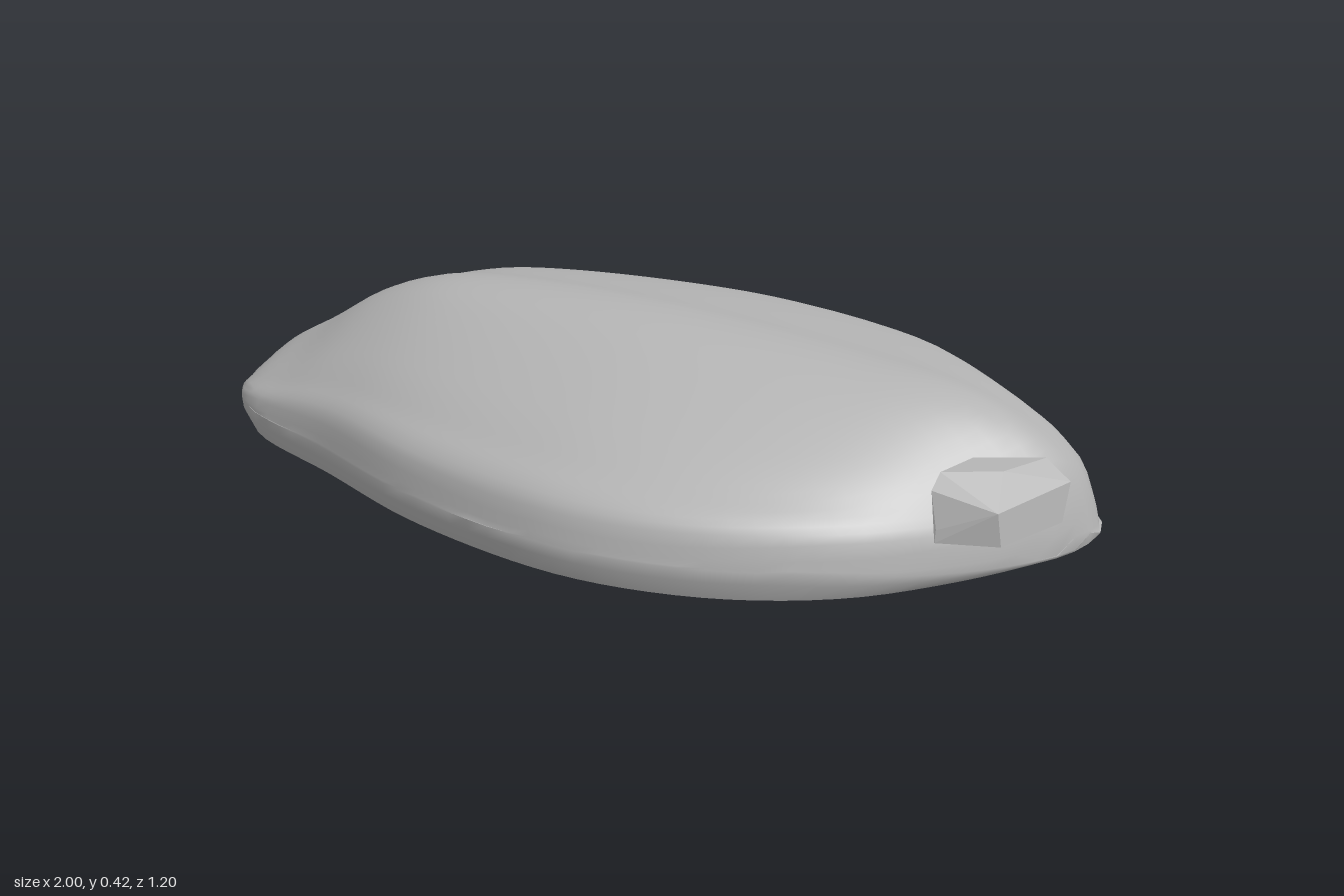
import * as THREE from 'three';
import { toCreasedNormals } from 'three/addons/utils/BufferGeometryUtils.js';
import { ConvexGeometry } from 'three/addons/geometries/ConvexGeometry.js';

// plan outline of the two sides: [x, half width], from left end to right end
const FRONT = [[-1, 0.1], [-0.97, 0.2], [-0.88, 0.29], [-0.6, 0.4], [-0.3, 0.52], [0.02, 0.59], [0.2, 0.595],
  [0.39, 0.56], [0.54, 0.5], [0.68, 0.41], [0.8, 0.29], [0.91, 0.15], [0.98, 0.03]];
const BACK = [[-0.99, 0.1], [-0.96, 0.2], [-0.89, 0.3], [-0.76, 0.38], [-0.47, 0.48], [0.02, 0.59], [0.2, 0.6],
  [0.39, 0.57], [0.53, 0.51], [0.75, 0.32], [0.93, 0.2], [0.998, 0.1]];
// long ridge: [x, y], and crosswise profile: [z, y]
const RIDGE = [[-1, 0.11], [-0.95, 0.18], [-0.8, 0.27], [-0.67, 0.35], [-0.53, 0.4], [-0.4, 0.418], [-0.15, 0.424],
  [0.1, 0.415], [0.5, 0.38], [0.7, 0.355], [0.83, 0.31], [0.93, 0.24], [0.97, 0.17], [1, 0.06]];
const CROSS = [[-0.6, 0.1], [-0.57, 0.18], [-0.5, 0.25], [-0.4, 0.33], [-0.3, 0.365], [-0.1, 0.4], [0, 0.42],
  [0.1, 0.42], [0.2, 0.395], [0.4, 0.3], [0.5, 0.24], [0.58, 0.18], [0.6, 0.1]];

// smooth interpolation of a [position, value] table
function sample(table, x) {
  const last = table.length - 1;
  if (x <= table[0][0]) return table[0][1];
  if (x >= table[last][0]) return table[last][1];
  let i = 0;
  while (table[i + 1][0] < x) i++;
  const slope = (k) => {
    const a = table[Math.max(k - 1, 0)], b = table[Math.min(k + 1, last)];
    return (b[1] - a[1]) / (b[0] - a[0]);
  };
  const [x0, y0] = table[i], [x1, y1] = table[i + 1];
  const d = x1 - x0, t = (x - x0) / d, t2 = t * t, t3 = t2 * t;
  return (2 * t3 - 3 * t2 + 1) * y0 + (t3 - 2 * t2 + t) * d * slope(i)
    + (3 * t2 - 2 * t3) * y1 + (t3 - t2) * d * slope(i + 1);
}

const rimY = (x) => 0.11 - 0.05 * THREE.MathUtils.smoothstep(x, 0.5, 1);

// height of the domed top above a plan point
function topY(x, z) {
  const width = sample(z > 0 ? FRONT : BACK, x);
  const across = THREE.MathUtils.clamp(z / width, -1, 1) * 0.6;
  const rim = rimY(x);
  return rim + Math.max(sample(RIDGE, x) - rim, 0) * Math.max(sample(CROSS, across) - 0.1, 0) / 0.322;
}

// skin over closed rings ordered from the top or outside inward; the first ring may be a point
function skin(rings) {
  const n = rings[0].length, positions = rings.flat(2), index = [];
  for (let r = 0; r < rings.length - 1; r++) {
    for (let i = 0; i < n; i++) {
      const j = (i + 1) % n, a = r * n + i, b = r * n + j;
      index.push(a, b + n, a + n, a, b, b + n);
    }
  }
  const geometry = new THREE.BufferGeometry();
  geometry.setAttribute('position', new THREE.Float32BufferAttribute(positions, 3));
  geometry.setIndex(index);
  return toCreasedNormals(geometry, 0.7);
}

export function createModel() {
  const group = new THREE.Group();
  const stone = new THREE.MeshStandardMaterial({ color: 0xb4b4b4 });
  stone.name = 'stone grey';
  const add = (name, geometry) => {
    const mesh = new THREE.Mesh(geometry, stone);
    mesh.name = name;
    group.add(mesh);
  };

  // plan outline, running from the right end along the front and home along the back
  const points = [...FRONT.map(([x, w]) => [x, w]).reverse(), ...BACK.map(([x, w]) => [x, -w])];
  const curve = new THREE.CatmullRomCurve3(points.map(([x, z]) => new THREE.Vector3(x, 0, z)), true);
  const outline = curve.getSpacedPoints(96).slice(0, 96);
  const ring = (s, height) => outline.map((p) => [p.x * s, height(p.x * s, p.z * s), p.z * s]);

  // domed top with rings packed towards the rim, then the tucked-in side
  const shell = [];
  for (let i = 0; i <= 28; i++) shell.push(ring(Math.sin(i / 28 * Math.PI / 2), topY));
  shell.push(ring(0.997, (x) => rimY(x) * 0.6 + 0.018));
  shell.push(ring(0.975, () => 0.044));
  add('body', skin(shell));

  // shallow convex underside
  const under = [];
  for (const s of [0.975, 0.9, 0.75, 0.5, 0.25, 0]) under.push(ring(s, () => 0.003 + 0.041 * (s / 0.975) ** 3));
  add('underside', skin(under));

  // faceted lump on the front of the left end
  const lump = [
    [0.78, 0.145, 0.305], [0.78, 0.17, 0.3], [0.76, 0.24, 0.28], [0.765, 0.268, 0.25],
    [0.9, 0.148, 0.27], [0.89, 0.215, 0.27], [0.87, 0.268, 0.19], [0.8, 0.272, 0.16],
    [0.97, 0.15, 0.11], [0.972, 0.225, 0.08], [0.92, 0.265, 0.08], [0.95, 0.16, 0.03],
    [0.95, 0.19, 0.02], [0.86, 0.25, 0.07], [0.76, 0.15, 0.2], [0.86, 0.15, 0.07],
  ].map((p) => new THREE.Vector3(...p));
  add('lump', new ConvexGeometry(lump));

  return group;
}
